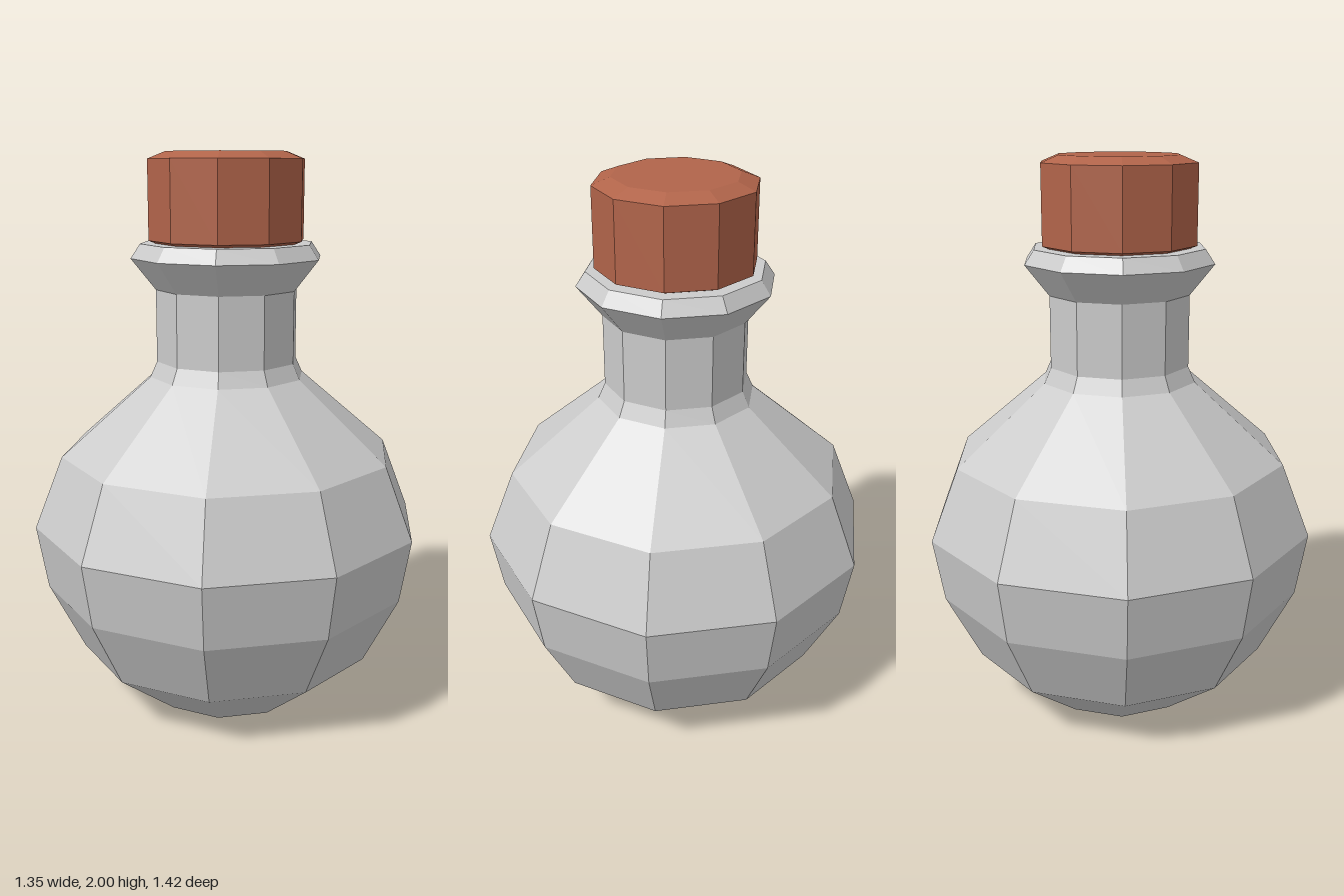
import * as THREE from 'three';

const SIDES = 10;

// Faceted solid of revolution; profile is [radius, height] from bottom to top
function turned(name, profile, color) {
  const points = profile.map(([r, y]) => new THREE.Vector2(r, y));
  const material = new THREE.MeshStandardMaterial({ color, flatShading: true });
  const mesh = new THREE.Mesh(new THREE.LatheGeometry(points, SIDES), material);
  mesh.name = name;
  return mesh;
}

export function createModel() {
  const model = new THREE.Group();
  model.name = 'corkedFlask';

  // Round body, straight neck and flared lip
  model.add(turned('flask', [
    [0, 0], [0.296, 0], [0.545, 0.2], [0.67, 0.45], [0.708, 0.68],
    [0.605, 0.94], [0.28, 1.22], [0.255, 1.275], [0.255, 1.53],
    [0.342, 1.64], [0.308, 1.69], [0, 1.69],
  ], 0xcccccc));

  // Stopper with bevelled ends, its lower bevel sunk into the lip
  model.add(turned('cork', [
    [0, 1.675], [0.215, 1.675], [0.278, 1.7],
    [0.278, 1.975], [0.215, 2], [0, 2],
  ], 0xb1644a));

  return model;
}
